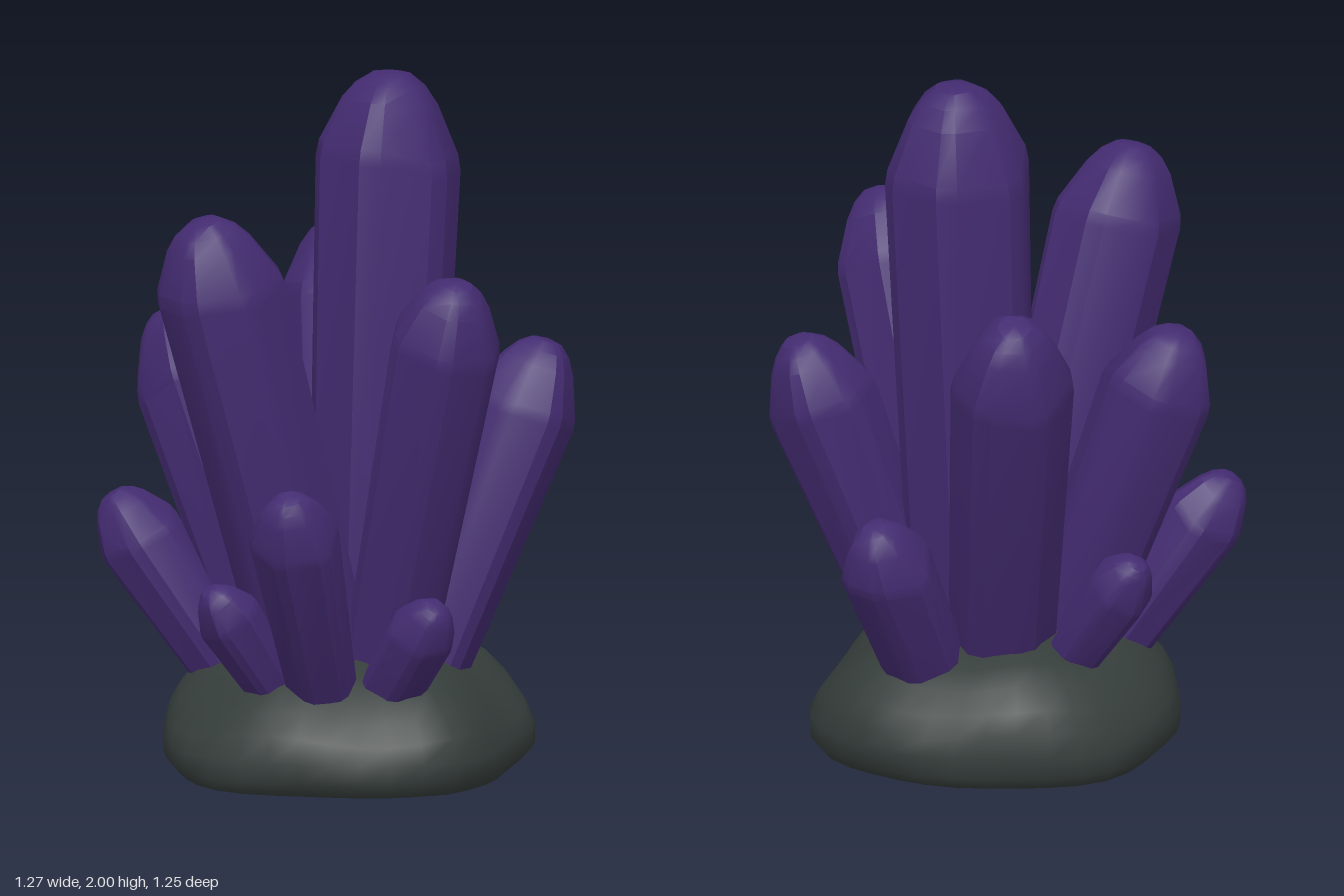
import * as THREE from 'three';
import { toCreasedNormals } from 'three/addons/utils/BufferGeometryUtils.js';

// Small seeded random generator, returns -1..1
function seeded(seed) {
  let s = seed * 7919 + 17;
  return () => {
    s = (s * 16807) % 2147483647;
    return (s / 2147483647) * 2 - 1;
  };
}

// Closed skin over a stack of rings; point(ring, step) gives each corner
function loft(rings, steps, point, bottom, top) {
  const pos = [];
  const index = [];
  for (let i = 0; i < rings; i++) for (let j = 0; j < steps; j++) pos.push(...point(i, j));
  const low = rings * steps;
  pos.push(...bottom, ...top);
  for (let j = 0; j < steps; j++) {
    const k = (j + 1) % steps;
    index.push(j, k, low);
    for (let i = 0; i < rings - 1; i++) {
      const a = i * steps, b = a + steps;
      index.push(a + j, b + j, a + k, a + k, b + j, b + k);
    }
    const t = (rings - 1) * steps;
    index.push(t + j, low + 1, t + k);
  }
  const g = new THREE.BufferGeometry();
  g.setAttribute('position', new THREE.Float32BufferAttribute(pos, 3));
  g.setIndex(index);
  g.computeVertexNormals();
  return g;
}

// Six-sided crystal with bevelled edges and a worn point, along +y
function crystalGeometry(length, radius, taper, spin, seed) {
  const rnd = seeded(seed);
  for (let i = 0; i < 5; i++) rnd();
  const corners = Array.from({ length: 6 }, (_, c) => ({
    angle: spin + (c / 6) * Math.PI * 2 + rnd() * 0.08,
    scale: 1.03 + rnd() * 0.04,
    lift: rnd() * 0.16 * radius,
  }));
  // [height, width, share of shoulder lift]
  const profile = [
    [0, taper, 0],
    [length - radius * 1.35, 1, 1],
    [length - radius * 1.12, 0.96, 1],
    [length - radius * 0.45, 0.66, 0.5],
    [length - radius * 0.2, 0.48, 0.2],
    [length - radius * 0.05, 0.28, 0],
  ];
  const g = loft(profile.length, 12, (i, j) => {
    const c = corners[j >> 1];
    const a = c.angle + (j % 2 ? 0.15 : -0.15);
    const [y, w, lift] = profile[i];
    const r = radius * w * c.scale;
    return [Math.cos(a) * r, y + c.lift * lift, Math.sin(a) * r];
  }, [0, 0, 0], [0, length, 0]);
  return toCreasedNormals(g, 0.5);
}

// Lumpy boulder with a flat underside, leaning back, trimmed at the front corners
function rockGeometry() {
  // [height, radius]
  const profile = [
    [0, 0.44], [0.012, 0.5], [0.05, 0.535], [0.11, 0.54], [0.17, 0.52],
    [0.23, 0.48], [0.29, 0.42], [0.335, 0.35], [0.37, 0.25], [0.39, 0.12],
  ];
  const steps = 36;
  return loft(profile.length, steps, (i, j) => {
    const a = (j / steps) * Math.PI * 2;
    const [y, r] = profile[i];
    const trim = 0.09 * Math.max(0, Math.sin(a)) * Math.abs(Math.sin(2 * a));
    const lump = 1.005 + 0.025 * Math.cos(4 * a) - trim + 0.012 * Math.sin(3 * a + y * 7)
      + 0.014 * Math.sin(7 * a - y * 16);
    const bump = y > 0.15 ? 0.015 * Math.sin(5 * a + 1) * (r / 0.5) : 0;
    const lean = Math.max(0, y - 0.1);
    return [
      Math.cos(a) * r * lump + lean * 0.05,
      y + bump,
      Math.sin(a) * r * lump - lean * 0.17,
    ];
  }, [0, 0, 0], [0.01, 0.395, -0.05]);
}

export function createModel() {
  const model = new THREE.Group();
  model.name = 'crystalCluster';
  const purple = new THREE.MeshStandardMaterial({ color: 0x432b70 });
  purple.name = 'purple crystal';
  const stone = new THREE.MeshStandardMaterial({ color: 0x353d3b });
  stone.name = 'dark stone';

  const rock = new THREE.Mesh(rockGeometry(), stone);
  rock.name = 'rockBase';
  model.add(rock);

  // name, root, tip, radius, taper, spin
  const crystals = [
    ['mainCrystal', [0.07, 0.25, 0.0], [0.16, 2.0, -0.025], 0.205, 0.86, 0.3],
    ['tallRightCrystal', [-0.12, 0.25, 0.045], [-0.53, 1.66, 0.045], 0.172, 0.88, 0.52],
    ['tallFrontCrystal', [0.03, 0.25, 0.13], [0.01, 1.5, 0.54], 0.158, 0.8, 0.15],
    ['tallBackCrystal', [0.06, 0.25, -0.11], [0.335, 1.46, -0.545], 0.175, 0.85, 0.6],
    ['frontLeftCrystal', [0.15, 0.25, 0.14], [0.51, 1.23, 0.255], 0.153, 0.72, 0.4],
    ['backRightCrystal', [-0.12, 0.25, -0.13], [-0.305, 1.29, -0.47], 0.16, 0.8, 0.1],
    ['leftCrystal', [0.27, 0.24, -0.07], [0.58, 0.8, -0.2], 0.13, 0.85, 0.3],
    ['frontRightCrystal', [-0.2, 0.25, 0.18], [-0.5, 0.92, 0.435], 0.124, 0.75, 0.5],
    ['outerBackCrystal', [-0.25, 0.25, -0.2], [-0.53, 0.79, -0.42], 0.12, 0.75, 0.2],
    ['smallBackCrystal', [-0.03, 0.24, -0.26], [-0.07, 0.67, -0.59], 0.092, 0.75, 0.45],
    ['smallRightCrystal', [-0.28, 0.24, 0.08], [-0.55, 0.6, 0.11], 0.092, 0.75, 0.3],
    ['smallFrontCrystal', [-0.05, 0.24, 0.25], [-0.055, 0.57, 0.53], 0.095, 0.9, 0.1],
  ];
  const up = new THREE.Vector3(0, 1, 0);
  crystals.forEach(([name, root, tip, radius, taper, spin], i) => {
    const from = new THREE.Vector3(...root);
    const axis = new THREE.Vector3(...tip).sub(from);
    const mesh = new THREE.Mesh(crystalGeometry(axis.length(), radius, taper, spin, i + 3), purple);
    mesh.name = name;
    mesh.position.copy(from);
    mesh.quaternion.setFromUnitVectors(up, axis.normalize());
    model.add(mesh);
  });
  return model;
}
